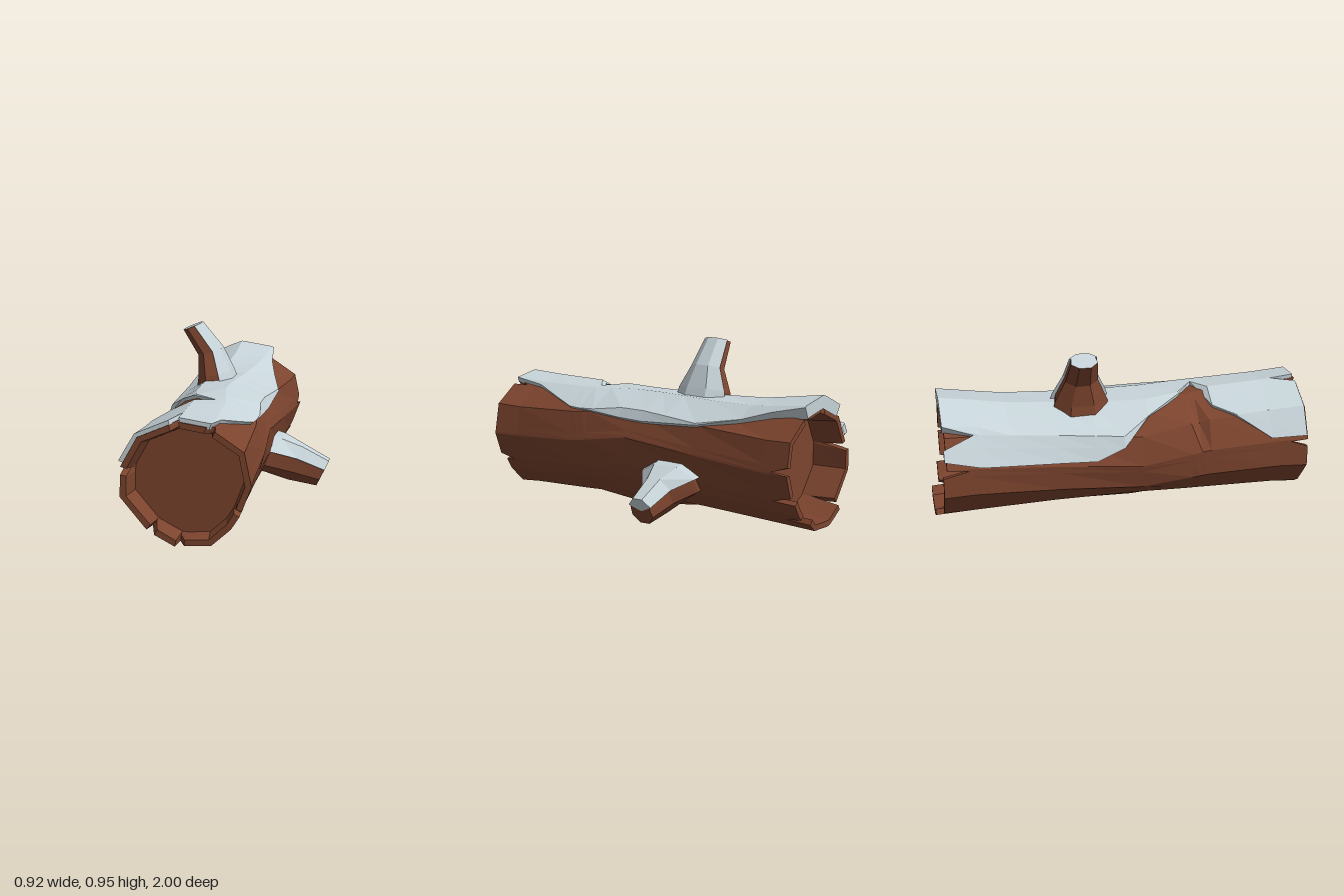
import * as THREE from 'three';

const bark = new THREE.MeshStandardMaterial({ color: 0x7c442e });
bark.name = 'bark brown';
const snow = new THREE.MeshStandardMaterial({ color: 0xc6d3d8 });
snow.name = 'snow white';

// Faceted surface through rows of points; isSnow(k, i) picks the colour of each quad
function loft(name, rows, isSnow) {
  const sets = [[], []];
  for (let k = 0; k < rows.length - 1; k++) {
    for (let i = 0; i < rows[k].length - 1; i++) {
      const a = rows[k][i], b = rows[k][i + 1], c = rows[k + 1][i + 1], d = rows[k + 1][i];
      sets[isSnow(k, i) ? 1 : 0].push(...a, ...b, ...c, ...a, ...c, ...d);
    }
  }
  const geo = new THREE.BufferGeometry();
  geo.setAttribute('position', new THREE.Float32BufferAttribute([...sets[0], ...sets[1]], 3));
  geo.addGroup(0, sets[0].length / 3, 0);
  geo.addGroup(sets[0].length / 3, sets[1].length / 3, 1);
  geo.computeVertexNormals();
  const mesh = new THREE.Mesh(geo, [bark, snow]);
  mesh.name = name;
  return mesh;
}

// Piecewise linear lookup in [key, value] pairs with falling keys
function lookup(table, key) {
  if (key >= table[0][0]) return table[0][1];
  for (let i = 1; i < table.length; i++) {
    const [k0, v0] = table[i - 1], [k1, v1] = table[i];
    if (key >= k1) return v0 + (v1 - v0) * (k0 - key) / (k0 - k1);
  }
  return table[table.length - 1][1];
}

// Twelve-sided trunk section, clockwise from the top, with girth and twist along z
const CX = -0.125, CY = 0.345;
const SECTION = [[-0.16, 0.67], [0, 0.645], [0.17, 0.53], [0.205, 0.36], [0.145, 0.2], [0.1, 0.13],
  [0, 0.04], [-0.16, 0.03], [-0.31, 0.11], [-0.45, 0.28], [-0.445, 0.44], [-0.36, 0.585]];
const GIRTH = [[1, 1], [0.85, 0.965], [0.45, 0.94], [0.1, 0.92], [-0.35, 0.92], [-0.8, 0.97], [-1, 1]];
const TWIST = [[0.85, 0], [0.45, 0.06], [0.1, 0.25], [-0.35, 0.11], [-0.8, 0]];

// Point on the trunk: u runs 0..12 round the section, extra lifts it outwards
function trunkPoint(u, z, extra = 0, scale = 1) {
  const v = ((u % 12) + 12) % 12, i = Math.floor(v), f = v - i;
  const p = SECTION[i], q = SECTION[(i + 1) % 12];
  const dx = p[0] + (q[0] - p[0]) * f - CX, dy = p[1] + (q[1] - p[1]) * f - CY;
  const s = lookup(GIRTH, z) * scale + extra / Math.hypot(dx, dy);
  const t = lookup(TWIST, z), c = Math.cos(t), n = Math.sin(t);
  return [CX + (dx * c - dy * n) * s, CY + (dx * n + dy * c) * s, z];
}

function buildTrunk() {
  // Splits in the rim: [position, depth at front, depth at back]
  const notches = [[0, 0.12, 0.04], [1.1, 0.09, 0.1], [2.95, 0, 0.1], [4, 0.09, 0.12], [5.5, 0, 0.1],
    [7.05, 0.09, 0], [8, 0.09, 0.13], [9.9, 0.09, 0.12]];
  const cols = [];
  for (let i = 0; i < 12; i++) if (!notches.some(n => Math.abs(n[0] - i) < 0.12)) cols.push(i);
  for (const [u] of notches) cols.push((u + 11.8) % 12, u, u + 0.06);
  cols.sort((a, b) => a - b);
  cols.push(12);
  const cut = (u, n) => (notches.find(m => m[0] === u % 12) || [0, 0, 0])[n];
  const front = u => (u > 4 && u < 7.05 ? 0.97 : 1) - cut(u, 1);
  const back = u => (u > 5.5 && u < 8 ? -1 : u > 4 && u < 9.9 ? -0.96 : -0.94) + cut(u, 2);
  const row = fn => cols.map(fn);

  const rows = [
    row(() => [CX + 0.01, CY + 0.01, 0.89]),           // recessed front face
    row(u => trunkPoint(u, 0.89, 0, 0.86)),
    row(u => trunkPoint(u, front(u), -0.032)),         // front rim
    row(u => trunkPoint(u, front(u))),
  ];
  for (const z of [0.85, 0.47, 0.42, 0.37, 0.1, -0.35, -0.8]) {
    rows.push(row(u => {
      const dent = z === 0.42 && u > 10.2 && u < 11.7 ? -0.03 : 0;
      const p = trunkPoint(u, z, dent);
      if (z === 0.1 && u > 6.8 && u < 7.2) p[1] -= 0.05;   // bulge underneath
      return p;
    }));
  }
  rows.push(
    row(u => trunkPoint(u, back(u))),                  // back rim
    row(u => trunkPoint(u, back(u), -0.032)),
    row(u => trunkPoint(u, -0.77, 0, 0.88)),           // recessed back face
    row(() => [CX, CY, -0.77]),
  );
  return loft('trunk', rows, () => false);
}

function buildSnow() {
  // Edges of the blanket, with a bite out of the left one
  const left = [[0.99, -1.9], [0.8, -1.9], [0.62, -1.1], [0.5, -0.7], [0.43, 0.55], [0.33, -0.3],
    [0.15, -0.9], [0, -1.8], [-0.15, -2.15], [-0.76, -2], [-0.95, -1.75]];
  const right = [[0.85, 1], [0.5, 1.75], [0.05, 1.95], [-0.35, 1.85], [-0.76, 1.2], [-0.95, 1.06]];
  const lift = [[0.99, 0.022], [0.5, 0.02], [-0.6, 0.025], [-0.95, 0.06]];
  const cols = [-2.5, -2, -1.4, -1, -0.8, -0.2, 0, 0.06, 1, 2, 2.6];
  const stations = [0.99, 0.8, 0.62, 0.5, 0.43, 0.33, 0.15, 0, -0.15, -0.35, -0.6, -0.76, -0.95];
  const makeRow = (z, inner) => {
    const shift = lookup(TWIST, z) * 6 / Math.PI;
    const us = cols.map(c => THREE.MathUtils.clamp(c, lookup(left, z) + shift, lookup(right, z) + shift));
    const at = (u, sunk) => {
      let zz = z;
      if (z === 0.99 && u === 0) zz = 0.86;            // notch at the front
      if (z === -0.95 && u === -1) zz = -0.79;         // notch at the back
      const height = u < -0.9 ? Math.min(lookup(lift, z), 0.022) : lookup(lift, z);
      return trunkPoint(u, zz, sunk ? -0.012 : height);
    };
    return [at(us[0], true), ...us.map(u => at(u, inner)), at(us[us.length - 1], true)];
  };
  const rows = stations.map(z => makeRow(z, false));
  rows.unshift(makeRow(0.99, true));
  rows.push(makeRow(-0.95, true));
  return loft('snowBlanket', rows, () => true);
}

// Branch stub: each ring is [snowy side x, y, bare side x, y, half depth in z].
// Snow wraps the first side and ends in a small ledge over the bark.
function buildBranch(name, rings, turn, snowyTip) {
  const Z = -0.2, BARE = 0.86;
  const spokes = [[-67.5, BARE], [-67.5, 1], [-22.5, 1], [22.5, 1], [67.5, 1], [67.5, BARE],
    [112.5, 0.95], [157.5, 1], [202.5, 1], [247.5, 0.95], [292.5, BARE]];
  const rows = rings.map(([ax, ay, bx, by, w]) => spokes.map(([deg, r]) => {
    const t = THREE.MathUtils.degToRad(deg), c = r * Math.cos(t) / Math.cos(Math.PI / 8);
    return [(ax + bx) / 2 + (ax - bx) / 2 * c, (ay + by) / 2 + (ay - by) / 2 * c, Z + turn * r * w * Math.sin(t)];
  }));
  const [ax, ay, bx, by] = rings[rings.length - 1];
  rows.push(spokes.map(() => [(ax + bx) / 2, (ay + by) / 2, Z]));   // end cap
  const tip = rings.length - 1;
  return loft(name, rows, (k, i) => (k === tip && snowyTip) || i < 5);
}

export function createModel() {
  const model = new THREE.Group();
  model.name = 'snowyLog';
  model.add(
    buildTrunk(),
    buildSnow(),
    buildBranch('upperBranch', [[-0.06, 0.6, -0.29, 0.58, 0.18], [-0.1, 0.7, -0.28, 0.66, 0.16],
      [-0.155, 0.82, -0.285, 0.78, 0.1], [-0.27, 0.96, -0.37, 0.92, 0.08]], -1, true),
    buildBranch('sideBranch', [[0.12, 0.34, 0.04, 0.14, 0.21], [0.2, 0.32, 0.1, 0.125, 0.19],
      [0.31, 0.27, 0.23, 0.075, 0.1], [0.46, 0.19, 0.39, 0.045, 0.075]], 1, false),
  );
  return model;
}
